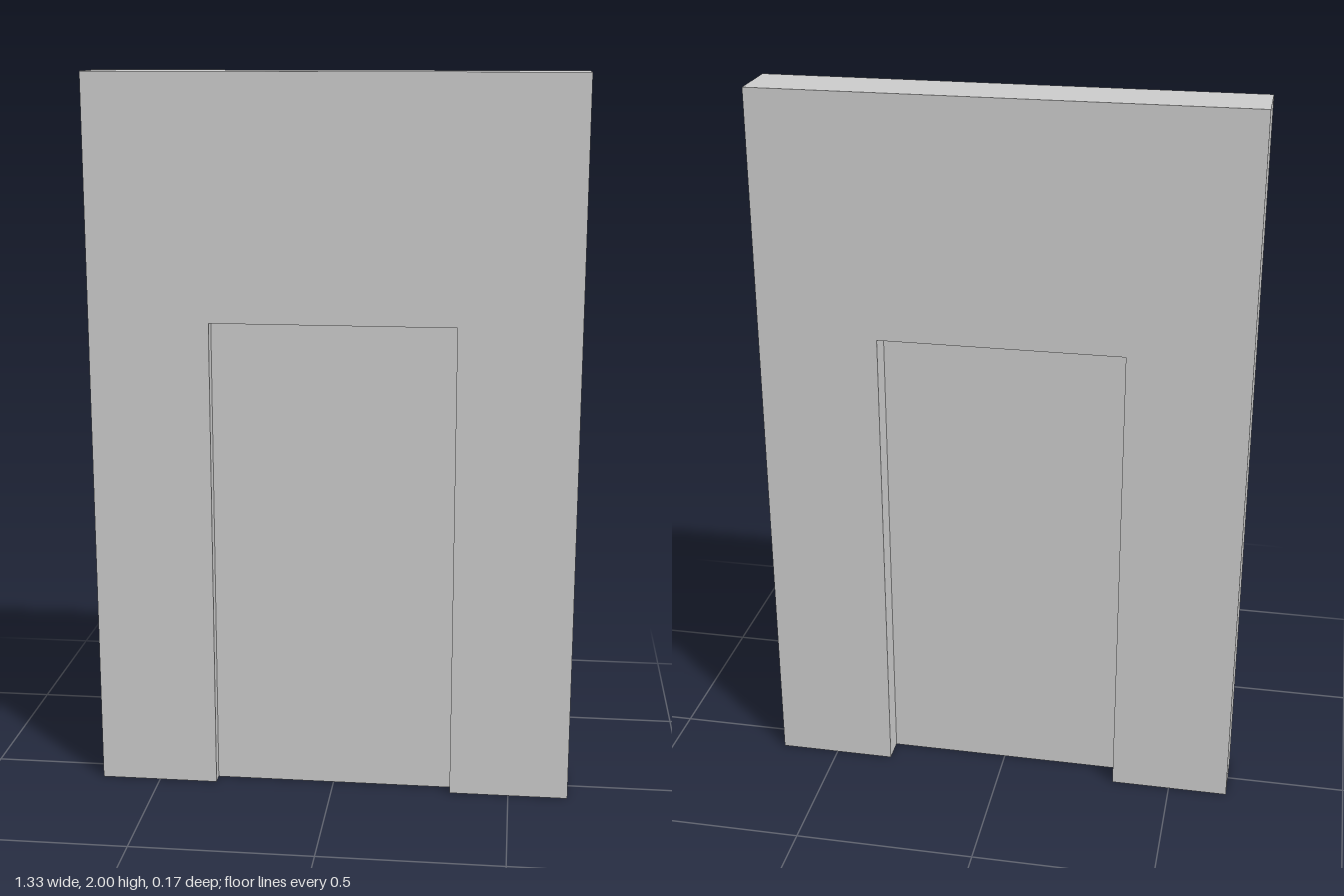
import * as THREE from 'three';

const WIDTH = 1.333, HEIGHT = 2, DEPTH = 0.167;
const DOOR_W = 0.67, DOOR_H = 1.336;
const DOOR_BACK = -0.013, DOOR_FRONT = 0.047;

export function createModel() {
  const group = new THREE.Group();
  group.name = 'wallWithDoor';
  const material = new THREE.MeshStandardMaterial({ color: 0xcccccc, flatShading: true });

  // Wall slab: an arch-shaped outline with the doorway open at the floor
  const w = WIDTH / 2, d = DOOR_W / 2;
  const outline = new THREE.Shape([
    [-w, 0], [-d, 0], [-d, DOOR_H], [d, DOOR_H], [d, 0], [w, 0], [w, HEIGHT], [-w, HEIGHT],
  ].map(([x, y]) => new THREE.Vector2(x, y)));
  const wallGeometry = new THREE.ExtrudeGeometry(outline, { depth: DEPTH, bevelEnabled: false });
  wallGeometry.translate(0, 0, -DEPTH / 2);
  const wall = new THREE.Mesh(wallGeometry, material);
  wall.name = 'wall';

  // Door panel: fills the doorway, set back from both wall faces
  const door = new THREE.Mesh(
    new THREE.BoxGeometry(DOOR_W, DOOR_H, DOOR_FRONT - DOOR_BACK), material);
  door.position.set(0, DOOR_H / 2, (DOOR_FRONT + DOOR_BACK) / 2);
  door.name = 'doorPanel';

  group.add(wall, door);
  return group;
}
